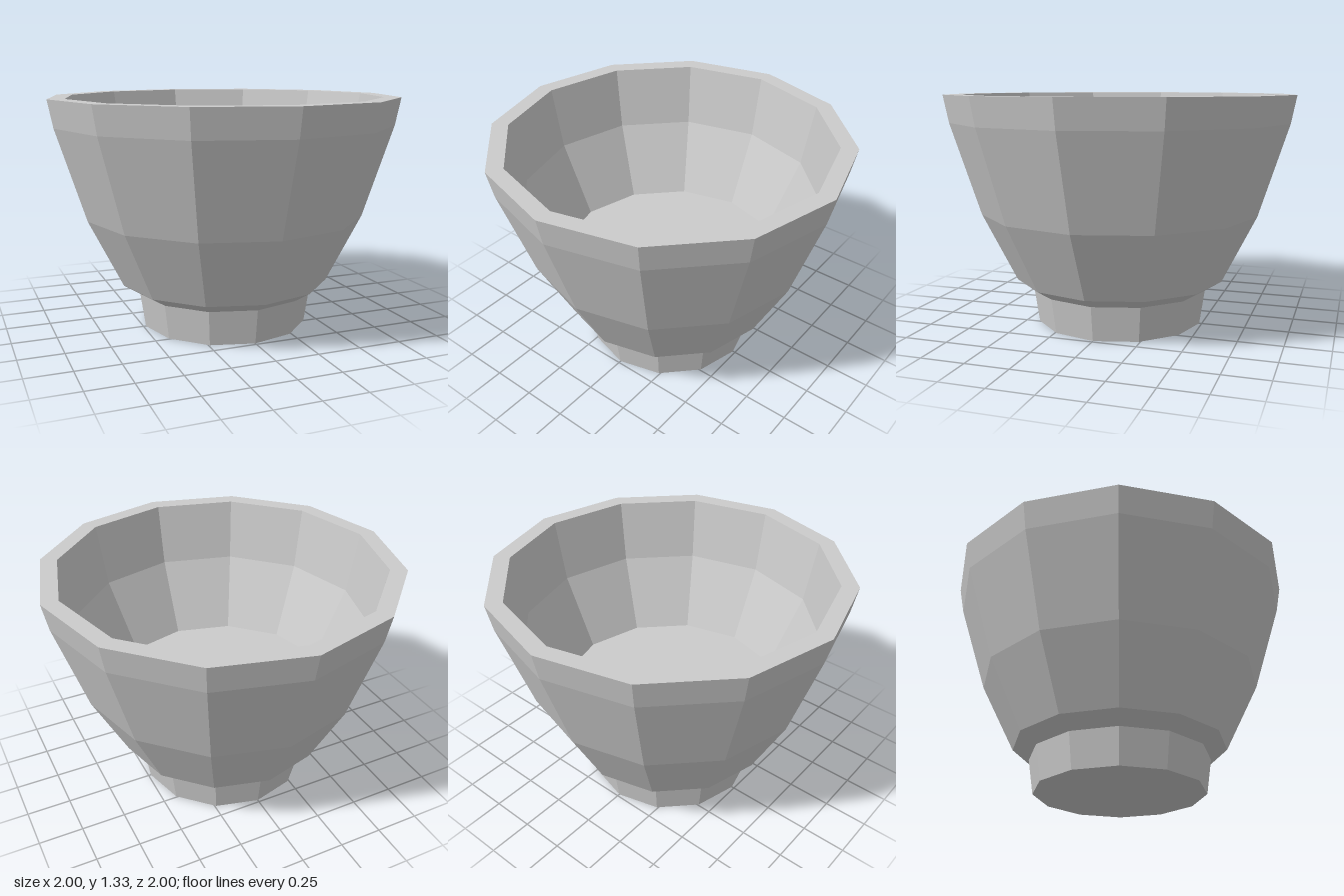
import * as THREE from 'three';

const SIDES = 12;

export function createModel() {
  const group = new THREE.Group();
  group.name = 'cup';
  const material = new THREE.MeshStandardMaterial({ color: 0xcccccc, flatShading: true });

  // Turns a [radius, height] profile into a faceted part
  const turn = (name, profile) => {
    const points = profile.map(([r, y]) => new THREE.Vector2(r, y));
    const mesh = new THREE.Mesh(new THREE.LatheGeometry(points, SIDES), material);
    mesh.name = name;
    group.add(mesh);
  };

  // Closed foot, flaring slightly upwards
  turn('foot', [[0, 0], [0.485, 0], [0.515, 0.2]]);

  // Outer wall
  turn('outerWall', [[0.515, 0.2], [0.61, 0.26], [0.805, 0.65], [0.97, 1.17], [1, 1.325]]);

  // Flat rim
  turn('rim', [[1, 1.325], [0.905, 1.325]]);

  // Inner wall and floor
  turn('innerWall', [[0.905, 1.325], [0.84, 0.97], [0.65, 0.55]]);
  turn('floor', [[0.65, 0.55], [0, 0.55]]);

  return group;
}
